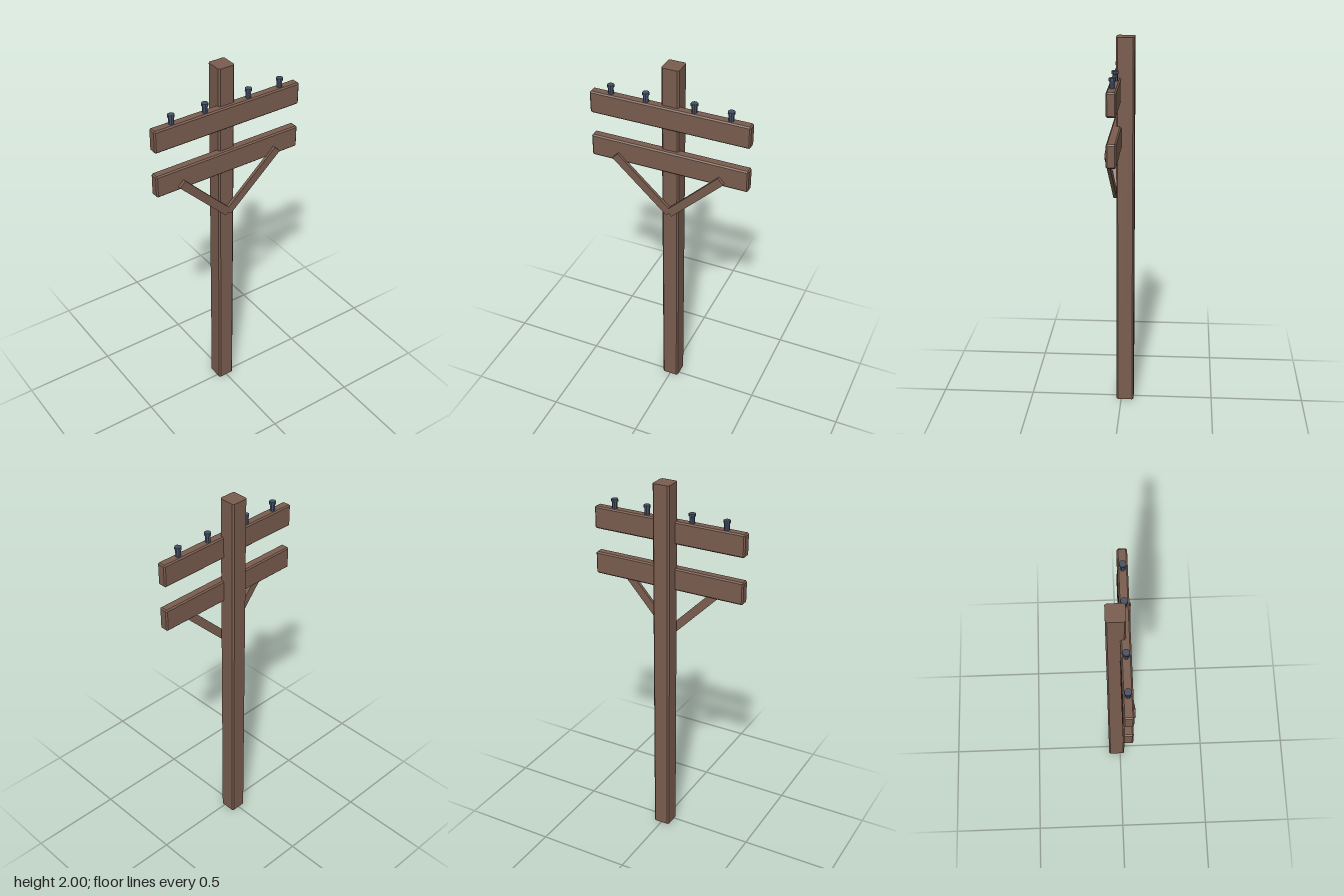
import * as THREE from 'three';
import { ConvexGeometry } from 'three/addons/geometries/ConvexGeometry.js';

// Box with chamfered edges; capChamfer false keeps the y ends square
function chamferBox(w, h, d, c, capChamfer = true) {
  const pts = [];
  const x = w / 2, y = h / 2, z = d / 2, k = capChamfer ? c : 0;
  for (const sx of [-1, 1]) for (const sy of [-1, 1]) for (const sz of [-1, 1]) {
    const add = (a, b, e) => pts.push(new THREE.Vector3(sx * a, sy * b, sz * e));
    add(x, y - k, z - c);
    add(x - c, y - k, z);
    if (capChamfer) add(x - c, y, z - c);
  }
  return new ConvexGeometry(pts);
}

export function createModel() {
  const group = new THREE.Group();
  const wood = new THREE.MeshStandardMaterial({ color: 0x795c4e });
  wood.name = 'brown wood';
  const glaze = new THREE.MeshStandardMaterial({ color: 0x465066 });
  glaze.name = 'dark blue glaze';

  const add = (name, geo, mat, x, y, z) => {
    const mesh = new THREE.Mesh(geo, mat);
    mesh.name = name;
    mesh.position.set(x, y, z);
    group.add(mesh);
    return mesh;
  };

  // Upright pole, set slightly behind the crossarms
  add('pole', chamferBox(0.092, 2, 0.093, 0.008, false), wood, 0, 1, -0.021);

  // Two crossarms
  const armGeo = chamferBox(0.846, 0.12, 0.05, 0.007);
  add('upperCrossarm', armGeo, wood, 0, 1.74, 0.024);
  add('lowerCrossarm', armGeo, wood, 0, 1.491, 0.024);

  // Diagonal braces leaning forward from the pole to the lower crossarm
  for (const s of [-1, 1]) {
    const bottom = new THREE.Vector3(0, 1.176, 0.033);
    const top = new THREE.Vector3(s * 0.287, 1.468, 0.056);
    const along = top.clone().sub(bottom);
    const brace = add(s > 0 ? 'leftBrace' : 'rightBrace',
      new THREE.BoxGeometry(0.044, along.length(), 0.017), wood, 0, 0, 0);
    brace.position.copy(bottom).add(top).multiplyScalar(0.5);
    along.normalize();
    const side = new THREE.Vector3().crossVectors(along, new THREE.Vector3(0, 0, 1)).normalize();
    const face = new THREE.Vector3().crossVectors(side, along);
    brace.quaternion.setFromRotationMatrix(new THREE.Matrix4().makeBasis(side, along, face));
  }

  // Insulators: narrow stem with a wider cap
  const profile = [[0, 0], [0.014, 0], [0.014, 0.036], [0.018, 0.038], [0.018, 0.052], [0, 0.052]]
    .map(([r, y]) => new THREE.Vector2(r, y));
  const insulatorGeo = new THREE.LatheGeometry(profile, 8, Math.PI / 8).toNonIndexed();
  insulatorGeo.computeVertexNormals();
  for (const x of [-0.315, -0.127, 0.127, 0.315]) {
    add('insulator', insulatorGeo, glaze, x, 1.798, 0.024);
  }
  return group;
}
